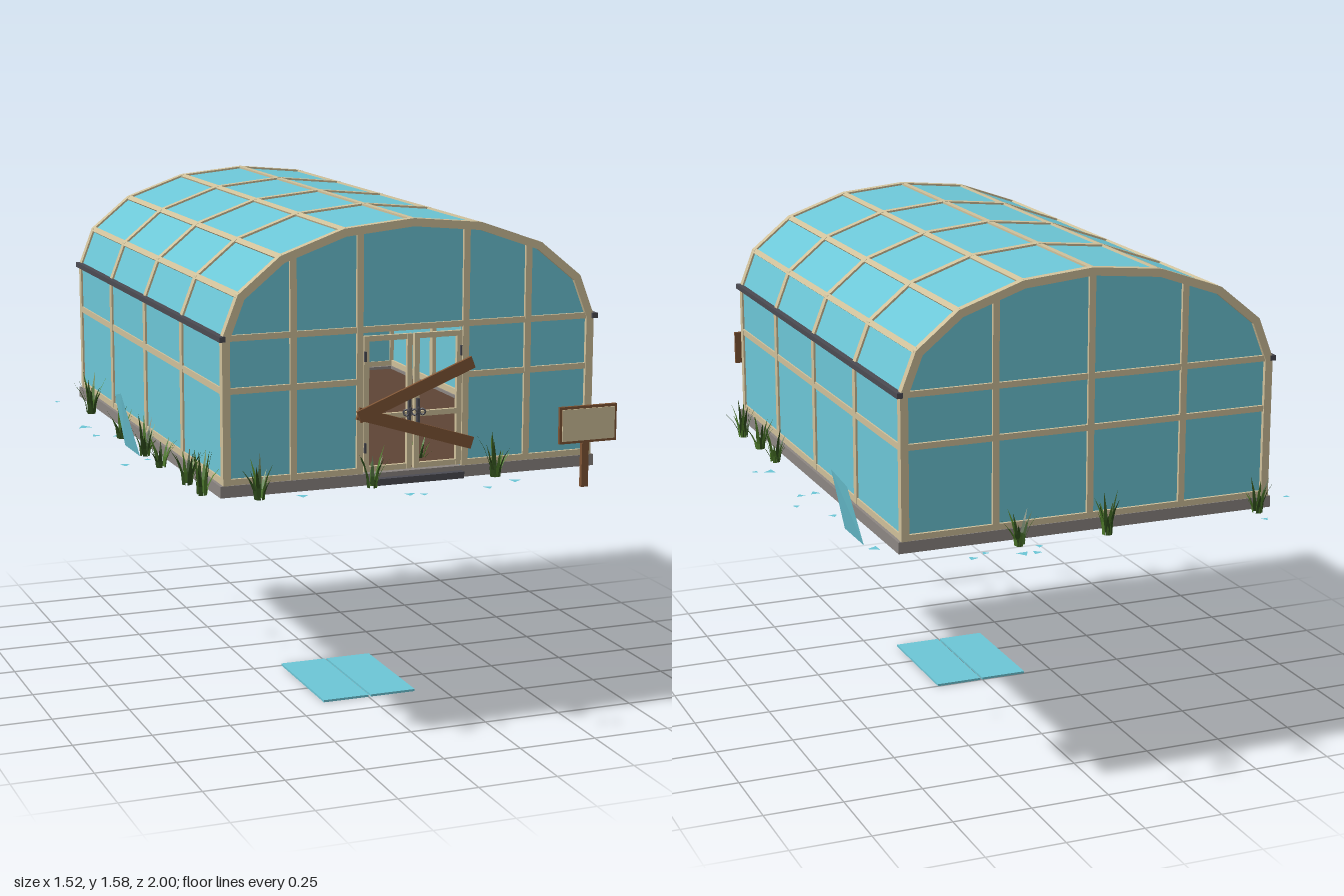
import * as THREE from 'three';

const mat = (name, color, double) => {
  const m = new THREE.MeshStandardMaterial({ color });
  m.name = name;
  m.flatShading = true;
  if (double) m.side = THREE.DoubleSide;
  return m;
};

export function createModel() {
  const glass = mat('glass', 0x6cc6d6, true);
  const frame = mat('paintedFrame', 0xcfc09a);
  const stone = mat('stone', 0x8c8682);
  const soil = mat('soil', 0x5e4435);
  const metal = mat('darkMetal', 0x4b4b52);
  const wood = mat('wood', 0x7f5535);
  const grassDark = mat('darkGrass', 0x2f4d1c, true);
  const grassLight = mat('lightGrass', 0x4d7a2a, true);

  const root = new THREE.Group();
  root.name = 'greenhouse';
  const group = (name) => {
    const g = new THREE.Group();
    g.name = name;
    root.add(g);
    return g;
  };
  const add = (parent, name, geo, m) => {
    const mesh = new THREE.Mesh(geo, m);
    mesh.name = name;
    parent.add(mesh);
    return mesh;
  };
  // box given by its minimum and maximum corners
  const box = (parent, name, m, x0, x1, y0, y1, z0, z1) => {
    const b = add(parent, name, new THREE.BoxGeometry(x1 - x0, y1 - y0, z1 - z0), m);
    b.position.set((x0 + x1) / 2, (y0 + y1) / 2, (z0 + z1) / 2);
    return b;
  };
  let seed = 7;
  const rnd = () => (seed = (seed * 16807) % 2147483647) / 2147483647;

  const GROUND = 0.787, SILL = 0.822, EAVE = 1.255, FRONT = 0.73, BACK = -0.833;

  // arched cross-section, left foot to right foot
  const half = [[0.59, SILL], [0.59, EAVE], [0.542, 1.378], [0.413, 1.483], [0.217, 1.552]];
  const profile = [...half.map(([x, y]) => [-x, y]), [0, 1.573], ...half.slice().reverse()]
    .map(([x, y]) => new THREE.Vector2(x, y));

  // mitred offset of the profile, positive is outward
  const offset = (d) => profile.map((p, i) => {
    const normal = (a, b) => new THREE.Vector2(a.y - b.y, b.x - a.x).normalize();
    const n1 = i > 0 ? normal(profile[i - 1], p) : normal(p, profile[i + 1]);
    const n2 = i < profile.length - 1 ? normal(p, profile[i + 1]) : n1;
    const n = n1.clone().add(n2).normalize();
    return p.clone().addScaledVector(n, d / n.dot(n1));
  });
  const extrude = (shape, depth) => new THREE.ExtrudeGeometry(shape, { depth, bevelEnabled: false });
  const band = (outer, inner, depth) =>
    extrude(new THREE.Shape([...offset(outer), ...offset(inner).reverse()]), depth);
  const roofY = (x) => {
    const p = offset(-0.012);
    for (let i = 1; i < p.length - 2; i++)
      if (x >= p[i].x && x <= p[i + 1].x)
        return p[i].y + (p[i + 1].y - p[i].y) * (x - p[i].x) / (p[i + 1].x - p[i].x);
    return EAVE;
  };
  const rect = (x0, x1, y0, y1) => [[x0, y0], [x1, y0], [x1, y1], [x0, y1]].map(([x, y]) => new THREE.Vector2(x, y));

  // stone plinth, soil floor and doorstep
  const base = group('base');
  const plinth = new THREE.Shape(rect(-0.603, 0.603, -0.743, 0.845));
  plinth.holes.push(new THREE.Path(rect(-0.57, 0.57, -0.71, 0.812)));
  const ring = add(base, 'plinth', extrude(plinth, SILL - GROUND), stone);
  ring.rotation.x = -Math.PI / 2;
  ring.position.y = GROUND;
  box(base, 'floor', soil, -0.57, 0.57, 0.79, 0.812, -0.812, 0.71);
  box(base, 'doorstep', metal, -0.12, 0.16, 0.788, 0.808, 0.743, 0.765);

  // glazing
  const glazing = group('glazing');
  add(glazing, 'roofAndSideGlass', band(-0.002, -0.006, FRONT - BACK), glass).position.z = BACK;
  const door = { x0: -0.155, x1: 0.16, y0: SILL, y1: 1.245 };
  const frontShape = new THREE.Shape([
    ...offset(-0.004).slice(0, 1), ...offset(-0.004).slice(1),
    new THREE.Vector2(door.x1, SILL), new THREE.Vector2(door.x1, door.y1),
    new THREE.Vector2(door.x0, door.y1), new THREE.Vector2(door.x0, SILL)]);
  add(glazing, 'frontGlass', extrude(frontShape, 0.004), glass).position.z = FRONT - 0.004;
  add(glazing, 'backGlass', extrude(new THREE.Shape(offset(-0.004)), 0.004), glass).position.z = BACK;

  // arched ribs
  const ribs = group('ribs');
  for (let i = 0; i < 5; i++)
    add(ribs, 'rib', band(0.004, -0.02, 0.025), frame).position.z = FRONT - 0.013 + (BACK - FRONT) * i / 4;

  // long rails, gutters
  const rails = group('rails');
  const line = offset(-0.006);
  line.slice(2, -2).forEach((p) => {
    const r = box(rails, 'purlin', frame, -0.009, 0.009, -0.009, 0.009, BACK, FRONT);
    r.position.x = p.x;
    r.position.y = p.y;
    r.rotation.z = -Math.atan2(p.x, p.y - 0.95);
  });
  for (const s of [-1, 1]) {
    for (const [y, h] of [[0.832, 0.02], [1.1, 0.02]])
      box(rails, 'sideRail', frame, s * 0.584 - 0.009, s * 0.584 + 0.009, y - h / 2, y + h / 2, BACK, FRONT);
    box(rails, 'gutter', metal, s * 0.595 - 0.009, s * 0.595 + 0.009, EAVE - 0.008, EAVE + 0.008, -0.847, 0.75);
  }

  // end wall bars
  const endBars = (name, z, uprights, spans) => {
    const g = group(name);
    for (const x of uprights) box(g, 'upright', frame, x - 0.01, x + 0.01, SILL, roofY(x), z - 0.01, z + 0.01);
    for (const [x0, x1, y] of spans) box(g, 'crossbar', frame, x0, x1, y - 0.009, y + 0.009, z - 0.009, z + 0.009);
  };
  endBars('frontBars', FRONT, [-0.375, -0.167, 0.172, 0.375], [
    [-0.585, 0.585, EAVE], [-0.585, -0.167, 1.1], [0.172, 0.585, 1.1],
    [-0.585, -0.167, 0.831], [0.172, 0.585, 0.831]]);
  endBars('backBars', BACK, [-0.3, 0, 0.3], [EAVE, 1.1, 0.831].map((y) => [-0.585, 0.585, y]));

  // pair of empty door frames with hinges and a chained handle
  const doors = group('doors');
  for (const [x0, x1] of [[-0.154, 0], [0.007, 0.16]]) {
    for (const x of [x0, x1 - 0.016]) box(doors, 'doorStile', frame, x, x + 0.016, 0.826, 1.235, 0.724, 0.738);
    for (const y of [0.826, 0.983, 1.219]) box(doors, 'doorRail', frame, x0, x1, y, y + 0.016, 0.725, 0.737);
  }
  for (const x of [-0.151, 0.156])
    for (const y of [0.9, 1.175]) box(doors, 'hinge', metal, x - 0.003, x + 0.003, y - 0.015, y + 0.015, 0.736, 0.744);
  for (const x of [-0.012, 0.016]) box(doors, 'handle', metal, x - 0.004, x + 0.004, 0.965, 1.04, 0.738, 0.75);
  for (let i = 0; i < 5; i++) {
    const link = add(doors, 'chainLink', new THREE.TorusGeometry(0.009, 0.003, 4, 8), metal);
    link.position.set(-0.024 + i * 0.013, 1.0 + (i % 2) * 0.005, 0.75);
    link.rotation.y = i % 2 ? 0.7 : -0.7;
  }

  // crossed planks nailed over the door
  const planks = group('planks');
  for (const [ax, ay, bx, by, z] of [[-0.18, 1.0, 0.185, 1.142, 0.762], [-0.18, 1.01, 0.188, 0.893, 0.754]]) {
    const p = add(planks, 'plank', new THREE.BoxGeometry(Math.hypot(bx - ax, by - ay), 0.037, 0.01), wood);
    p.position.set((ax + bx) / 2, (ay + by) / 2, z);
    p.rotation.z = Math.atan2(by - ay, bx - ax);
  }

  // blank sign on a post
  const sign = group('sign');
  box(sign, 'post', wood, 0.44, 0.462, GROUND, 1.02, 0.972, 0.986);
  box(sign, 'signBack', wood, 0.36, 0.546, 0.924, 1.035, 0.986, 0.996);
  box(sign, 'signFace', frame, 0.368, 0.538, 0.932, 1.027, 0.994, 1.0);

  // two loose door panes
  const panes = group('loosePanes');
  for (const [x0, x1] of [[-0.153, 0], [0.008, 0.16]]) box(panes, 'pane', glass, x0, x1, 0, 0.007, 0, 0.4);

  // large tilted shards beside the walls
  const shards = group('shards');
  for (const [s, z] of [[1, -0.645], [-1, 0.05]]) {
    const corners = [[0.668, GROUND, -0.085], [0.668, GROUND, 0.085], [0.718, 0.985, 0.055], [0.706, 0.96, -0.055]];
    const g = new THREE.BufferGeometry();
    g.setAttribute('position', new THREE.Float32BufferAttribute(
      corners.flatMap(([x, y, dz]) => [s * x, y, z + dz]), 3));
    g.setIndex(s > 0 ? [0, 2, 1, 0, 3, 2] : [0, 1, 2, 0, 2, 3]);
    g.computeVertexNormals();
    add(shards, 'largeShard', g, glass);
  }
  // splinters lying on the ground
  const splinters = [[-0.7, -0.775, 1], [-0.72, -0.34, 2], [-0.72, -0.2, 1.4], [-0.66, -0.17, 1], [-0.745, 0.235, 1.5],
    [-0.66, 0.19, 1], [0.65, -0.77, 1.6], [0.64, -0.19, 1.4], [0.69, -0.2, 1.2], [0.735, -0.3, 1], [0.7, 0.085, 1.8],
    [0.745, 0.1, 1], [0.635, 0.64, 1.4], [0.66, -0.43, 1.2], [-0.37, 0.8, 1.5], [-0.07, 0.89, 1.5], [-0.03, 0.905, 1.2],
    [0.18, 0.895, 1.3], [0.29, 0.845, 1.6], [0.23, -0.98, 1.3], [0.27, -0.975, 1.6], [0.42, -0.96, 1.3],
    [0.37, -0.93, 1], [0.2, -0.93, 1], [-0.53, -0.95, 1]];
  for (const [x, z, s] of splinters) {
    const t = add(shards, 'splinter', new THREE.CircleGeometry(0.0135 * s, 3), glass);
    t.rotation.set(-Math.PI / 2, 0, rnd() * 6.3);
    t.position.set(x, GROUND + 0.001, z);
  }

  // tapering, bending grass blade
  const blade = (w, h, bend) => {
    const g = new THREE.PlaneGeometry(1, 1, 1, 3);
    const p = g.attributes.position;
    for (let i = 0; i < p.count; i++) {
      const t = p.getY(i) + 0.5;
      p.setXYZ(i, p.getX(i) * w * (1 - t * t * 0.95), h * t, bend * t * t);
    }
    g.computeVertexNormals();
    return g;
  };
  const grass = group('grass');
  const clumps = [[-0.5, 0.79, 1], [-0.14, 0.77, 1], [0.26, 0.77, 1], [-0.64, 0.68, 1.1], [-0.64, 0.54, 0.9],
    [-0.65, 0.3, 0.8], [-0.65, 0.13, 1], [-0.65, -0.14, 0.9], [-0.64, -0.55, 1.1], [0.65, 0.19, 1], [0.65, 0.36, 0.9],
    [0.66, 0.52, 1], [-0.54, -0.88, 0.9], [-0.03, -0.9, 1], [0.25, -0.9, 0.8], [0.1, 0.55, 0.8]];
  for (const [x, z, s] of clumps)
    for (let i = 0; i < 10; i++) {
      const h = s * (0.06 + 0.07 * rnd());
      const b = add(grass, 'grassBlade', blade(0.013, h, 0.015 + 0.03 * rnd()), i % 3 ? grassDark : grassLight);
      const a = i * 2.4 + rnd();
      b.position.set(x + Math.sin(a) * 0.014, GROUND, z + Math.cos(a) * 0.014);
      b.rotation.y = a;
    }
  return root;
}
